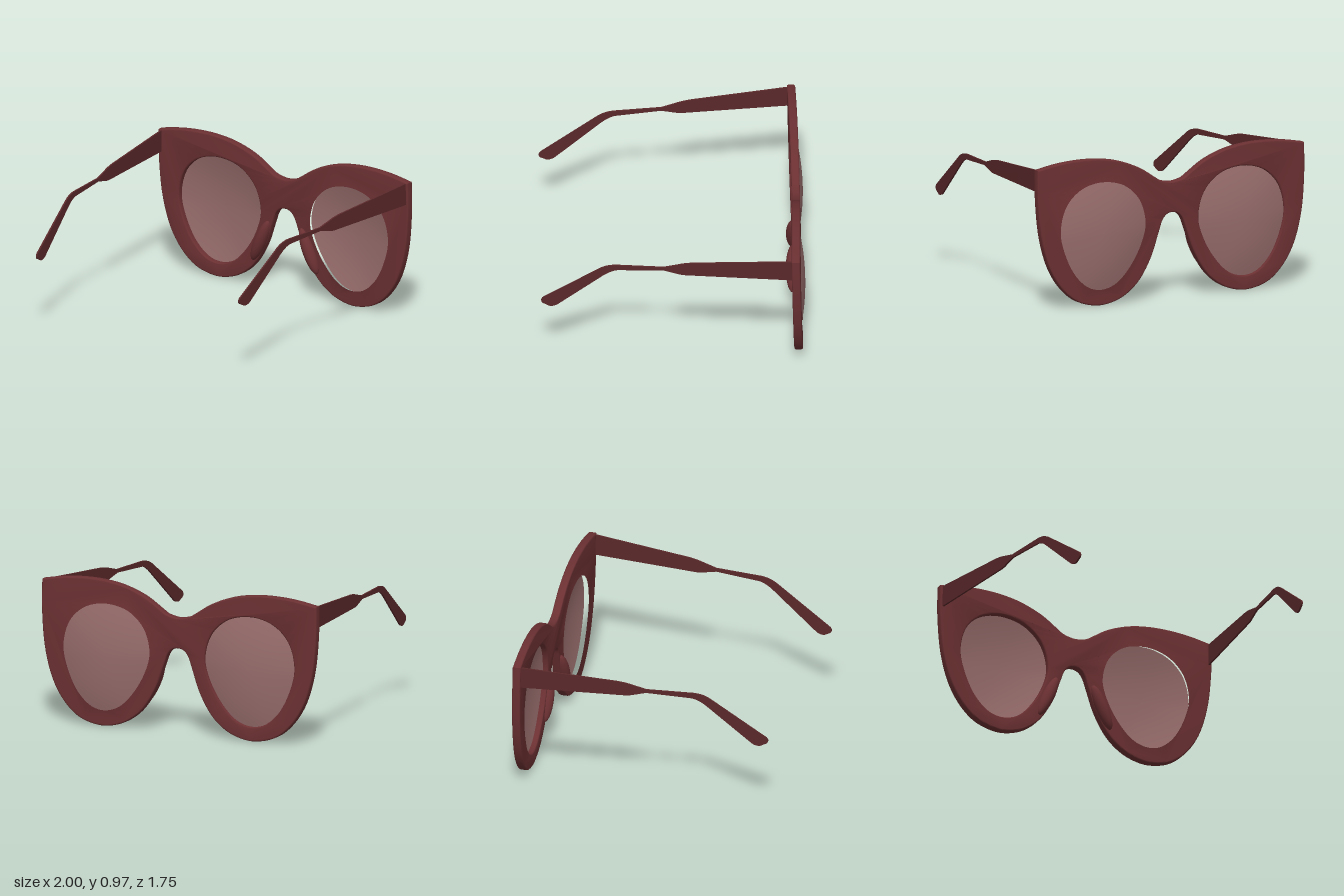
import * as THREE from 'three';
import { toCreasedNormals } from 'three/addons/utils/BufferGeometryUtils.js';

const frameMat = new THREE.MeshStandardMaterial({ color: 0x6b3032 });
const templeMat = new THREE.MeshStandardMaterial({ color: 0x5a282a, side: THREE.DoubleSide });
const lensMat = new THREE.MeshStandardMaterial({ color: 0x966c6b, side: THREE.DoubleSide });

const vecs = (list) => list.map(([x, y]) => new THREE.Vector2(x, y));
const mirror = (list) => list.map(([x, y]) => [-x, y]).reverse();

// Mid plane of the front: slight wrap, tilt and turn
const midZ = (x, y) => -0.818 - 0.018 * x + 0.013 * x * x + 0.02 * (y - 0.5);

// Half outlines of the frame front, from the middle outwards / corner to bridge
const brow = [[0.08, 0.795], [0.13, 0.825], [0.25, 0.9], [0.4, 0.955], [0.55, 0.98], [0.7, 0.984], [0.85, 0.972], [1, 0.945]];
const lower = [[1, 0.75], [0.98, 0.52], [0.935, 0.335], [0.87, 0.2], [0.78, 0.095], [0.68, 0.035], [0.55, 0.01],
  [0.43, 0.03], [0.33, 0.08], [0.24, 0.165], [0.16, 0.3], [0.105, 0.45], [0.075, 0.53], [0.04, 0.568]];
const opening = [[0.535, 0.835], [0.69, 0.795], [0.8, 0.69], [0.845, 0.52], [0.81, 0.36], [0.73, 0.21], [0.63, 0.125],
  [0.53, 0.105], [0.42, 0.14], [0.31, 0.25], [0.225, 0.4], [0.195, 0.53], [0.24, 0.69], [0.36, 0.8]];

function openingLoop(side) {
  const curve = new THREE.CatmullRomCurve3(opening.map(([x, y]) => new THREE.Vector3(side * x, y, 0)), true);
  return curve.getPoints(84).slice(0, -1).map((p) => new THREE.Vector2(p.x, p.y));
}

function frameGeometry() {
  const shape = new THREE.Shape();
  shape.moveTo(-1, 0.945);
  shape.splineThru(vecs([...mirror(brow).slice(1), [0, 0.78], ...brow]));
  shape.splineThru(vecs([...lower, [0, 0.578], ...mirror(lower), [-1, 0.945]]));
  for (const side of [-1, 1]) shape.holes.push(new THREE.Path(openingLoop(side)));
  const bevel = 0.009, thickness = 0.055;
  const geo = new THREE.ExtrudeGeometry(shape, {
    depth: thickness - 2 * bevel, bevelThickness: bevel, bevelSize: bevel, bevelOffset: -bevel,
    bevelSegments: 3, curveSegments: 6,
  });
  geo.translate(0, 0, -thickness / 2 + bevel);
  const pos = geo.attributes.position;
  for (let i = 0; i < pos.count; i++) pos.setZ(i, pos.getZ(i) + midZ(pos.getX(i), pos.getY(i)));
  return toCreasedNormals(geo, 0.6);
}

// Domed lens made of shrinking rings
function lensGeometry(side) {
  const loop = openingLoop(side), n = loop.length, rings = 10;
  const cx = side * 0.525, cy = 0.48;
  const verts = [], index = [];
  for (let r = 0; r <= rings; r++) {
    const t = r / rings;
    for (const p of loop) {
      const x = cx + (p.x - cx) * t * 1.015, y = cy + (p.y - cy) * t * 1.015;
      verts.push(x, y, midZ(x, y) - 0.008 - 0.043 * (1 - t * t));
    }
  }
  for (let r = 0; r < rings; r++) {
    for (let i = 0; i < n; i++) {
      const j = (i + 1) % n, a = r * n + i, b = r * n + j;
      const quad = r ? [a, b, a + n, b, b + n, a + n] : [a, b + n, a + n];
      index.push(...(side > 0 ? quad : quad.reverse()));
    }
  }
  const geo = new THREE.BufferGeometry();
  geo.setAttribute('position', new THREE.Float32BufferAttribute(verts, 3));
  geo.setIndex(index);
  geo.computeVertexNormals();
  return geo;
}

// Flat temple arm: profile in (z, y), leaned inwards towards the tip
function templeGeometry(side) {
  const shape = new THREE.Shape();
  shape.moveTo(-0.8, 0.943);
  shape.lineTo(-0.12, 0.89);
  shape.quadraticCurveTo(-0.06, 0.882, -0.03, 0.872);
  shape.lineTo(0.07, 0.845);
  shape.lineTo(0.38, 0.842);
  shape.quadraticCurveTo(0.45, 0.838, 0.5, 0.8);
  shape.lineTo(0.86, 0.553);
  shape.quadraticCurveTo(0.878, 0.535, 0.865, 0.515);
  shape.lineTo(0.82, 0.492);
  shape.quadraticCurveTo(0.79, 0.488, 0.765, 0.506);
  shape.lineTo(0.48, 0.745);
  shape.quadraticCurveTo(0.42, 0.798, 0.37, 0.806);
  shape.lineTo(0.07, 0.822);
  shape.lineTo(-0.02, 0.8);
  shape.quadraticCurveTo(-0.05, 0.792, -0.08, 0.793);
  shape.lineTo(-0.8, 0.796);
  shape.closePath();
  const geo = new THREE.ExtrudeGeometry(shape, { depth: 0.012, bevelEnabled: false, curveSegments: 8 });
  geo.translate(0, 0, -0.006).rotateY(-Math.PI / 2);
  const [base, lean, shift] = side > 0 ? [0.913, -0.086, -0.02] : [-0.891, 0.117, 0];
  const pos = geo.attributes.position;
  for (let i = 0; i < pos.count; i++) {
    const z = pos.getZ(i) + shift;
    pos.setXYZ(i, pos.getX(i) + base + lean * z, pos.getY(i), z);
  }
  return toCreasedNormals(geo, 0.6);
}

export function createModel() {
  const model = new THREE.Group();
  model.name = 'sunglasses';
  const add = (name, geo, mat) => {
    const mesh = new THREE.Mesh(geo, mat);
    mesh.name = name;
    model.add(mesh);
    return mesh;
  };

  add('frameFront', frameGeometry(), frameMat);
  for (const side of [-1, 1]) {
    const label = side > 0 ? 'left' : 'right';
    add(label + 'Lens', lensGeometry(side), lensMat);
    add(label + 'Temple', templeGeometry(side), templeMat);

    // Nose pad swelling out of the back of the rim
    const pad = add(label + 'NosePad', new THREE.SphereGeometry(1, 28, 18), frameMat);
    pad.scale.set(0.042, 0.16, 0.046);
    pad.position.set(side * 0.196, 0.325, -0.793);
    pad.rotation.z = side * 0.42;
  }
  return model;
}
